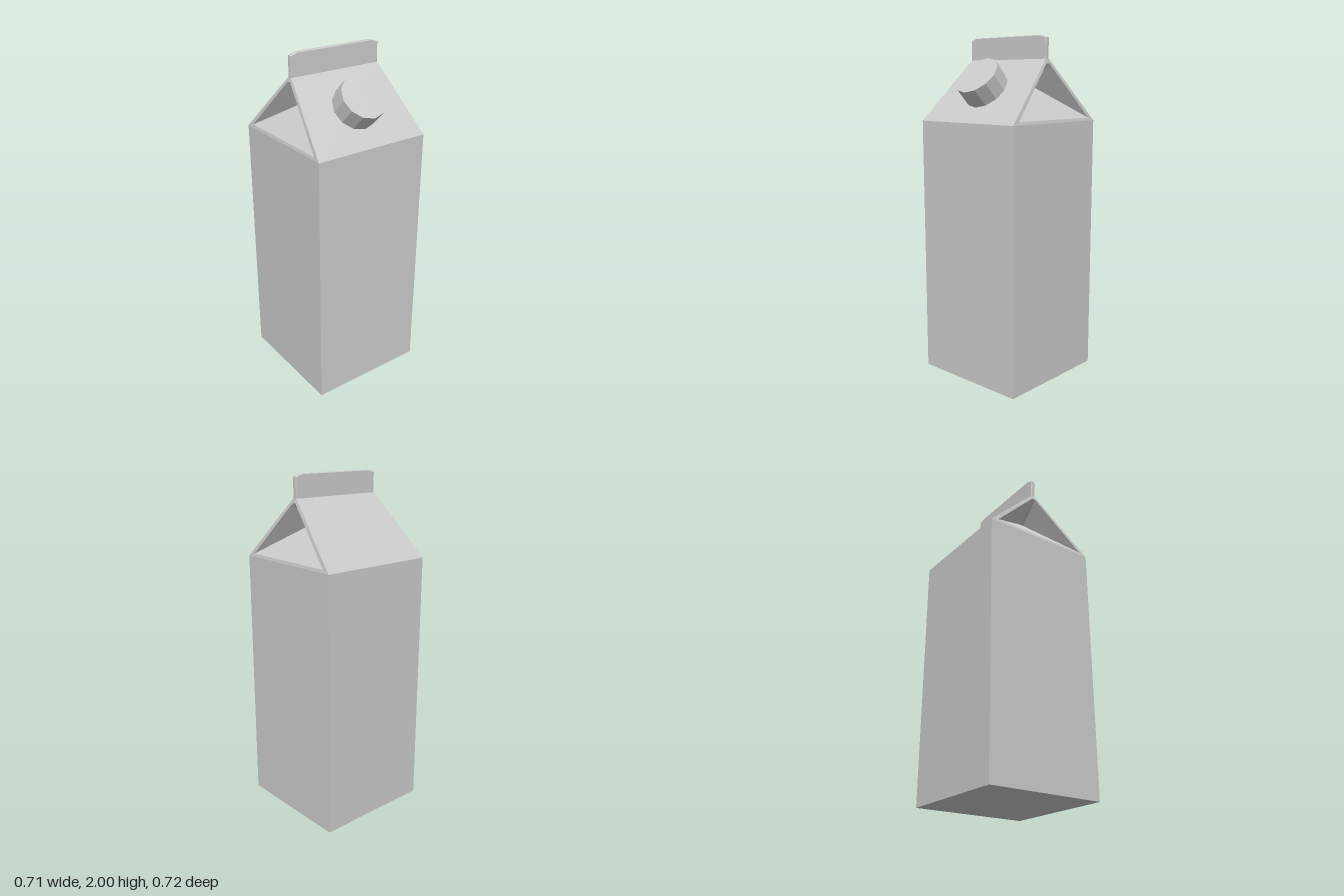
import * as THREE from 'three';

const material = new THREE.MeshStandardMaterial({ color: 0xcccccc, flatShading: true });

const HALF = 0.357; // half width of the carton
const EAVE = 1.52; // top of the straight walls
const RIDGE = 1.87; // bottom of the sealed fin
const RIDGE_X = 0.29;
const FIN_Z = 0.014;

function addMesh(parent, name, geometry) {
  const mesh = new THREE.Mesh(geometry, material);
  mesh.name = name;
  parent.add(mesh);
  return mesh;
}

// Flat polygons, corners counter-clockwise seen from outside
function polygons(faces) {
  const positions = [];
  for (const face of faces) {
    for (let i = 1; i < face.length - 1; i++) {
      positions.push(...face[0], ...face[i], ...face[i + 1]);
    }
  }
  const geometry = new THREE.BufferGeometry();
  geometry.setAttribute('position', new THREE.Float32BufferAttribute(positions, 3));
  geometry.computeVertexNormals();
  return geometry;
}

// A gable corner and its mirror across z = 0
const pair = (x, y, z) => [[x, y, z], [x, y, -z]];

export function createModel() {
  const carton = new THREE.Group();
  carton.name = 'carton';

  // Straight walls and base
  const body = addMesh(carton, 'body', new THREE.BoxGeometry(2 * HALF, EAVE, 2 * HALF));
  body.position.y = EAVE / 2;

  // Gable: outer corners, inner rim corners and the pushed-in fold
  const [eaveF, eaveB] = pair(HALF, EAVE, HALF);
  const [ridgeF, ridgeB] = pair(RIDGE_X, RIDGE, FIN_Z);
  const [rimF, rimB] = pair(0.353, 1.537, 0.308);
  const [peakF, peakB] = pair(0.296, 1.845, 0.012);
  const [foldF, foldB] = pair(0.17, 1.72, 0.01);
  const flipX = ([x, y, z]) => [-x, y, z];

  const panel = polygons([[flipX(eaveF), eaveF, ridgeF, flipX(ridgeF)]]);
  const rim = polygons([
    [eaveF, eaveB, rimB, rimF],
    [eaveF, rimF, peakF, ridgeF],
    [eaveB, ridgeB, peakB, rimB],
    [ridgeF, peakF, peakB, ridgeB],
  ]);
  const gusset = polygons([
    [rimF, rimB, foldB, foldF],
    [rimF, foldF, peakF],
    [rimB, peakB, foldB],
    [peakF, foldF, foldB, peakB],
  ]);

  // Each half of the roof is the other turned half way round
  for (const [side, angle] of [['front', 0], ['back', Math.PI]]) {
    const half = new THREE.Group();
    half.name = side + 'RoofHalf';
    half.rotation.y = angle;
    addMesh(half, 'roofPanel', panel);
    addMesh(half, 'gableRim', rim);
    addMesh(half, 'foldedGusset', gusset);
    carton.add(half);
  }

  // Sealed fin along the ridge, with clipped top corners and a fine bevel
  const bevel = 0.003;
  const w = RIDGE_X - bevel;
  const top = 2 - bevel;
  const outline = new THREE.Shape([
    new THREE.Vector2(-w, RIDGE - 0.005),
    new THREE.Vector2(w, RIDGE - 0.005),
    new THREE.Vector2(w, top - 0.013),
    new THREE.Vector2(w - 0.038, top),
    new THREE.Vector2(-w + 0.038, top),
    new THREE.Vector2(-w, top - 0.013),
  ]);
  const depth = 2 * (FIN_Z - bevel);
  const fin = new THREE.ExtrudeGeometry(outline, {
    depth, bevelEnabled: true, bevelThickness: bevel, bevelSize: bevel, bevelSegments: 1,
  });
  fin.translate(0, 0, -depth / 2);
  addMesh(carton, 'topFin', fin);

  // Twelve-sided screw cap standing square to the front roof panel
  const cap = addMesh(carton, 'screwCap', new THREE.CylinderGeometry(0.134, 0.134, 0.13, 12));
  cap.rotation.x = Math.PI / 4;
  cap.position.set(0, 1.735, 0.219);

  return carton;
}
